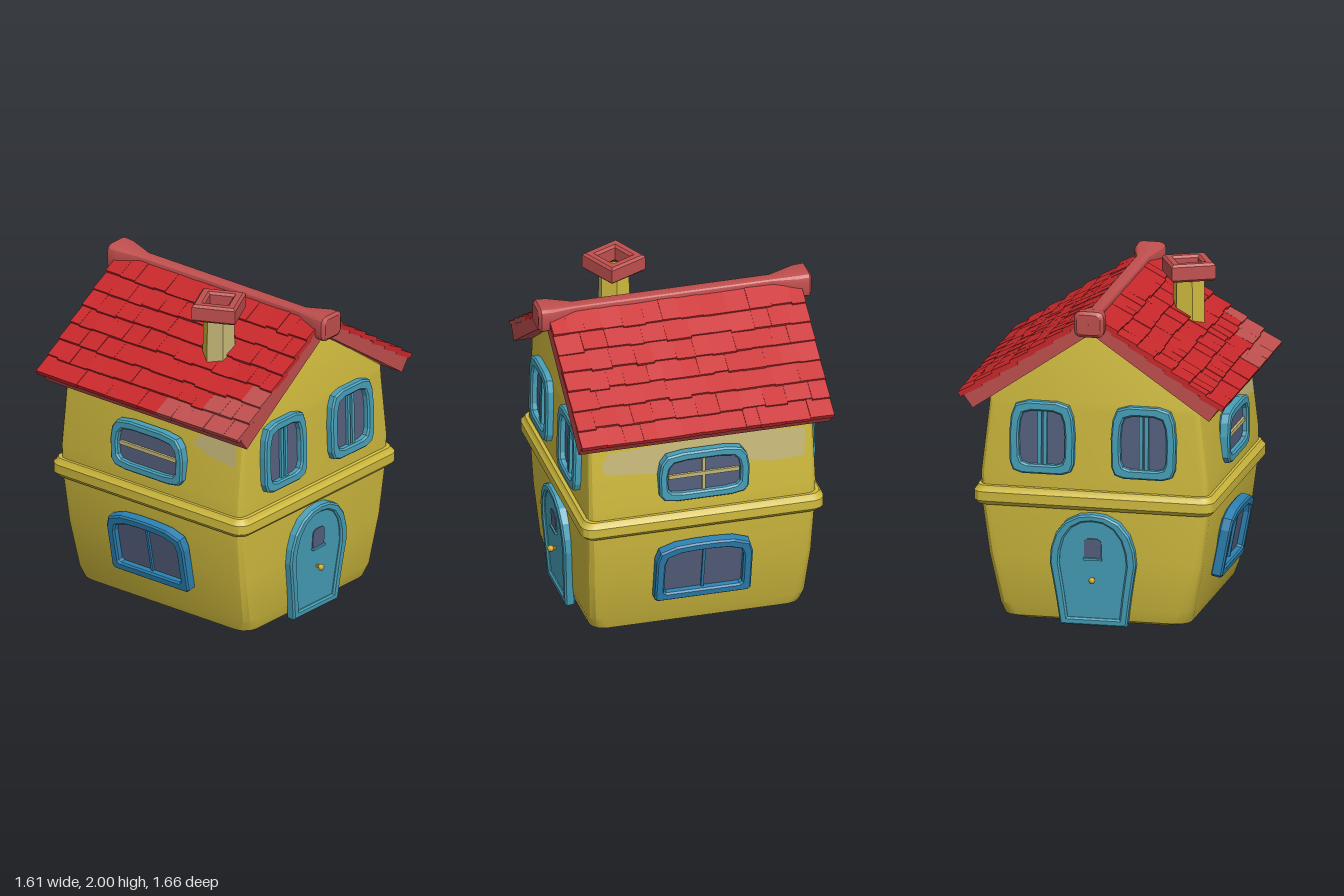
import * as THREE from 'three';
import { mergeGeometries, toCreasedNormals } from 'three/addons/utils/BufferGeometryUtils.js';

const mat = (name, color) => Object.assign(new THREE.MeshStandardMaterial({ color }), { name });

// Stack of rounded rectangles: levels are [y, halfX, halfZ, cornerRadius]
function loft(levels, crease = 0.5) {
  const pos = [], idx = [], n = 16;
  for (const [y, w, d, r0] of levels) {
    const r = Math.min(r0, w * 0.9, d * 0.9);
    for (let q = 0; q < 4; q++) for (let k = 0; k < 4; k++) {
      const a = (q * 90 + k * 30) * Math.PI / 180;
      const sx = q === 0 || q === 3 ? 1 : -1, sz = q < 2 ? 1 : -1;
      pos.push(sx * (w - r) + r * Math.cos(a), y, sz * (d - r) + r * Math.sin(a));
    }
  }
  for (let i = 0; i < levels.length - 1; i++) for (let j = 0; j < n; j++) {
    const a = i * n + j, b = i * n + (j + 1) % n, c = a + n, d = b + n;
    idx.push(a, c, b, b, c, d);
  }
  const g = new THREE.BufferGeometry();
  g.setAttribute('position', new THREE.Float32BufferAttribute(pos, 3));
  g.setIndex(idx);
  return toCreasedNormals(g, crease);
}

// Symmetric outline from its right half, bottom to top
function outline(half, sx = 1, sy = 1, oy = 0) {
  const right = half.map(([x, y]) => new THREE.Vector2(x * sx, y * sy + oy));
  const left = right.filter(p => p.x > 0).map(p => new THREE.Vector2(-p.x, p.y)).reverse();
  return [...right, ...left];
}

function extrude(pts, depth, holePts, bevel = 0) {
  const s = new THREE.Shape(pts);
  if (holePts) s.holes.push(new THREE.Path(holePts));
  return new THREE.ExtrudeGeometry(s, {
    depth, bevelEnabled: bevel > 0, bevelSize: bevel, bevelThickness: bevel, bevelOffset: -bevel, bevelSegments: 1,
  });
}

// Unit half outlines
const SOFT = [[0.6, -1], [0.88, -0.92], [0.98, -0.7], [1, 0.1], [0.95, 0.6], [0.82, 0.9], [0.45, 1]];
const ARCHED = [[0.93, -1], [1, -0.92], [1, 0.45], [0.93, 0.78], [0.6, 0.96], [0.2, 1]];
const DOOR = [[0.2, 0], [0.225, 0.18], [0.258, 0.38], [0.25, 0.47], [0.22, 0.56], [0.16, 0.635], [0.08, 0.675], [0, 0.685]];

export function createModel() {
  const M = {
    wall: mat('yellow wall', 0xd0bb3e), faded: mat('faded plaster', 0xc6b878),
    tile: mat('red tile', 0xc9282b), trim: mat('dusty red trim', 0xbf4f4e),
    teal: mat('teal paint', 0x479fb8), blue: mat('blue paint', 0x2b80b0),
    glass: mat('slate glass', 0x56617f), brass: mat('brass', 0xc9a52c),
  };
  const house = new THREE.Group();
  house.name = 'house';
  const add = (parent, name, geo, m, x = 0, y = 0, z = 0) => {
    const mesh = new THREE.Mesh(geo, m);
    mesh.name = name;
    mesh.position.set(x, y, z);
    parent.add(mesh);
    return mesh;
  };
  const box = (x, y, z) => new THREE.BoxGeometry(x, y, z);
  const mount = (name, parent, x, y, z, turn, tilt) => {
    const g = new THREE.Group();
    g.name = name;
    g.position.set(x, y, z);
    g.rotation.set(tilt, turn, 0, 'YXZ');
    parent.add(g);
    return g;
  };

  // Walls with bulging base and gables
  add(house, 'walls', loft([
    [0.005, 0.001, 0.001, 0], [0.005, 0.5, 0.6, 0.09], [0.025, 0.56, 0.64, 0.09], [0.1, 0.585, 0.662, 0.08],
    [0.4, 0.645, 0.683, 0.07], [0.72, 0.685, 0.692, 0.06], [0.9, 0.685, 0.695, 0.05],
    [1.3, 0.637, 0.686, 0.04], [1.355, 0.63, 0.685, 0.03], [1.8, 0.01, 0.68, 0.01],
  ]), M.wall);
  add(house, 'floorBand', loft([
    [0.705, 0.66, 0.67, 0.05], [0.705, 0.7, 0.715, 0.06], [0.73, 0.722, 0.738, 0.07], [0.785, 0.722, 0.738, 0.07],
    [0.8, 0.71, 0.722, 0.06], [0.82, 0.7, 0.715, 0.06], [0.825, 0.66, 0.67, 0.05],
  ]), M.wall);

  // Window: frame, glass and bars, each bar [x, width, height]
  const makeWindow = (g, half, w, h, rim, depth, glassZ, paint) => {
    const inner = [w - rim, h - rim];
    add(g, 'windowFrame', extrude(outline(half, w, h), depth, outline(half, ...inner), 0.01), paint);
    add(g, 'windowGlass', new THREE.ShapeGeometry(new THREE.Shape(outline(half, w - rim / 2, h - rim / 2))), M.glass, 0, 0, glassZ);
  };

  // Front and back share a door and two windows
  for (const [label, turn] of [['front', 0], ['back', Math.PI]]) {
    const face = mount(label + 'Face', house, 0, 0, 0, turn, 0);
    const door = mount('door', face, 0, 0.005, 0.652, 0, 0.06);
    add(door, 'doorFrame', extrude(outline(DOOR), 0.042, outline(DOOR, 0.78, 0.87, 0.045), 0.01), M.teal);
    add(door, 'doorPanel', extrude(outline(DOOR, 0.84, 0.92, 0.02), 0.036), M.teal);
    add(door, 'doorPane', extrude(outline(ARCHED, 0.052, 0.06), 0.006), M.glass, 0, 0.475, 0.036);
    add(door, 'doorSill', box(0.11, 0.014, 0.02), M.teal, 0, 0.41, 0.042);
    add(door, 'doorKnob', new THREE.SphereGeometry(0.02, 10, 8), M.brass, 0, 0.285, 0.07);
    add(door, 'knobStem', box(0.014, 0.014, 0.04), M.brass, 0, 0.285, 0.05);
    for (const s of [-1, 1]) {
      const win = mount('upperWindow', face, s * 0.305, 1.13, 0.682, 0, -0.02);
      makeWindow(win, SOFT, 0.195, 0.218, 0.056, 0.042, 0.014, M.teal);
      for (const x of [-0.016, 0.018]) add(win, 'mullion', box(0.022, 0.34, 0.02), M.teal, x, 0, 0.022 + x * 0.1);
    }
  }

  // Side walls share an upper and a lower window
  for (const s of [1, -1]) {
    const turn = s * Math.PI / 2;
    const up = mount('sideUpperWindow', house, s * 0.665, 1.06, 0, turn, 0);
    makeWindow(up, SOFT, 0.275, 0.16, 0.052, 0.045, 0.022, M.teal);
    add(up, 'crossBar', box(0.43, 0.024, 0.015), M.faded, 0, 0, 0.03);
    if (s > 0) add(up, 'uprightBar', box(0.02, 0.215, 0.013), M.faded, 0, 0, 0.029);
    const low = mount('sideLowerWindow', house, s * 0.655, 0.43, 0, turn, 0.19);
    makeWindow(low, ARCHED, 0.292, 0.203, 0.055, 0.05, 0.02, M.blue);
    add(low, 'mullion', box(0.016, 0.31, 0.016), M.blue, 0, 0, 0.026);
    // Worn plaster under the eaves
    const patch = mount('wornPlaster', house, s * 0.6545, 1.17, 0, turn, -0.12);
    const pts = s > 0
      ? [[-0.59, -0.06], [-0.3, -0.09], [0.25, -0.07], [0.42, -0.11], [0.62, -0.1], [0.63, 0.07], [0.35, 0.1], [-0.3, 0.085], [-0.57, 0.07], [-0.61, 0]]
      : [[0.3, 0.02], [0.45, -0.03], [0.63, -0.05], [0.63, 0.12], [0.4, 0.12]];
    add(patch, 'plasterPatch', new THREE.ShapeGeometry(new THREE.Shape(pts.map(p => new THREE.Vector2(...p)))), M.faded);
  }

  // Roof slopes: trim slab plus rows of uneven tiles
  let seed = 7;
  const rand = () => (seed = (seed * 16807) % 2147483647) / 2147483647;
  const slabPts = [[0, 1.79], [0.71, 1.3], [0.765, 1.375], [0, 1.885]].map(p => new THREE.Vector2(...p));
  const pitch = Math.atan2(0.51, 0.765), rows = 7, step = 0.128;
  for (const s of [1, -1]) {
    const slope = mount(s > 0 ? 'leftRoof' : 'rightRoof', house, 0, 0, 0, s > 0 ? 0 : Math.PI, 0);
    add(slope, 'roofBoard', extrude(slabPts, 1.53), M.trim, 0, 0, -0.765);
    const red = [], worn = [];
    for (let r = 0; r < rows; r++) {
      let z = -0.767;
      while (z < 0.766) {
        let w = 0.085 + rand() * 0.07;
        if (z + w > 0.7) w = 0.767 - z;
        const len = step + 0.025 + rand() * (r < rows - 1 ? 0.018 : 0.005);
        const t = box(len, 0.026 + rand() * 0.008, w);
        t.rotateX((rand() - 0.5) * 0.06);
        t.rotateZ(0.09 + rand() * 0.04);
        t.translate(0.02 + r * step + len / 2, 0.012, z + w / 2);
        const dx = (r + 0.5) * step * 0.83, dz = -(z + w / 2);
        const isWorn = s < 0 && ((dx > 0.66 && dz > 0.1) || (dx > 0.52 && dz > 0.38) || (dx > 0.4 && dz > 0.66));
        (isWorn ? worn : red).push(t);
        z += w;
      }
    }
    for (const [name, list, m] of [['tiles', red, M.tile], ['wornTiles', worn, M.trim]]) {
      if (list.length) add(slope, name, mergeGeometries(list), m, 0, 1.885, 0).rotation.z = -pitch;
    }
  }

  // Ridge beam with flared ends
  const half = [[0.83, 0.001, 0.001, 0], [0.83, 0.07, 0.06, 0.03], [0.815, 0.09, 0.078, 0.04], [0.75, 0.088, 0.075, 0.04], [0.6, 0.042, 0.052, 0.02]];
  const levels = [...half.map(([y, ...r]) => [-y, ...r]), ...half.slice().reverse()];
  add(house, 'ridgeBeam', loft(levels).rotateX(Math.PI / 2), M.trim, 0, 1.86, 0);

  // Chimney, half of the shaft worn pale
  const chimney = mount('chimney', house, -0.355, 0, 0.255, 0, 0);
  const deg = Math.PI / 180;
  const shaft = (from, segs) => new THREE.CylinderGeometry(0.095, 0.1, 0.45, segs, 1, true, from * deg, segs * 60 * deg).toNonIndexed();
  for (const [name, from, segs, m] of [['paleShaft', -95, 2, M.faded], ['shaft', 25, 4, M.wall]]) {
    const g = shaft(from, segs);
    g.computeVertexNormals();
    add(chimney, name, g, m, 0, 1.675, 0);
  }
  add(chimney, 'shaftTop', new THREE.CylinderGeometry(0.09, 0.09, 0.01, 6), M.wall, 0, 1.897, 0);
  const square = a => [[-a, -a], [a, -a], [a, a], [-a, a]].map(p => new THREE.Vector2(...p));
  const cap = extrude(square(0.132), 0.08, square(0.07), 0.014).rotateX(-Math.PI / 2);
  add(chimney, 'chimneyCap', cap, M.trim, 0, 1.906, 0).rotation.y = 0.45;

  return house;
}
